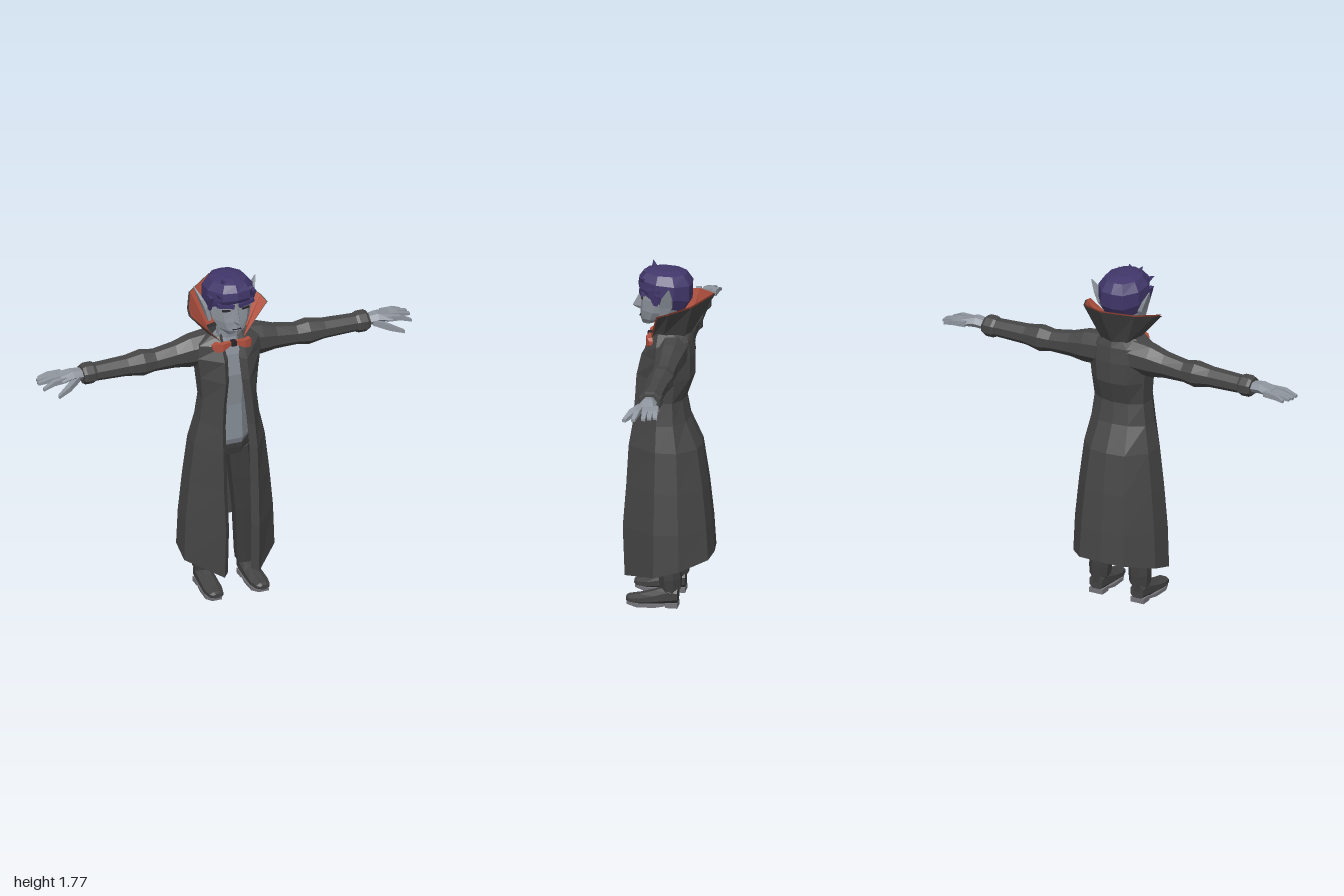
import * as THREE from 'three';

const mat = (name, color, side = THREE.FrontSide) => {
  const m = new THREE.MeshStandardMaterial({ color, side });
  m.name = name;
  return m;
};
const M = {
  coat: mat('coat charcoal', 0x464646, THREE.DoubleSide),
  trousers: mat('trouser charcoal', 0x3e3e3e),
  skin: mat('pale skin', 0x8f959e),
  shirt: mat('shirt grey', 0x858b94),
  red: mat('red cloth', 0xb0503e, THREE.DoubleSide),
  hair: mat('hair purple', 0x41376a),
  shoe: mat('shoe black', 0x424242),
  sole: mat('sole grey', 0x74747a),
  dark: mat('dark line', 0x26262c),
};

// Joins rings of points into a faceted skin; closed rings may be capped.
function loft(name, material, rings, closed = true) {
  const tris = [], n = rings[0].length;
  for (let i = 0; i < rings.length - 1; i++) {
    for (let j = 0; j < (closed ? n : n - 1); j++) {
      const k = (j + 1) % n, a = rings[i][j], b = rings[i][k], c = rings[i + 1][k], d = rings[i + 1][j];
      tris.push([a, b, c], [a, c, d]);
    }
  }
  if (closed) {
    const centre = (r) => [0, 1, 2].map((q) => r.reduce((s, p) => s + p[q], 0) / n);
    const lo = rings[0], hi = rings[rings.length - 1], cl = centre(lo), ch = centre(hi);
    for (let j = 0; j < n; j++) {
      const k = (j + 1) % n;
      tris.push([cl, lo[k], lo[j]], [ch, hi[j], hi[k]]);
    }
  }
  // turn faces outward
  const v = tris.map((t) => t.map((p) => new THREE.Vector3(...p)));
  const volume = v.reduce((s, [a, b, c]) => s + a.dot(b.clone().cross(c)), 0);
  const pos = tris.flatMap(([a, b, c]) => (volume < 0 ? [a, c, b] : [a, b, c])).flat();
  const g = new THREE.BufferGeometry();
  g.setAttribute('position', new THREE.Float32BufferAttribute(pos, 3));
  g.computeVertexNormals();
  const mesh = new THREE.Mesh(g, material);
  mesh.name = name;
  return mesh;
}

// Faceted tube along an axis; section = [along, centre u, radius u, centre v, radius v].
function sweep(name, material, axis, sections, s = 1, n = 8) {
  const rings = sections.map(([t, cu, ru, cv, rv]) => Array.from({ length: n }, (_, i) => {
    const a = ((i + 0.5) / n) * Math.PI * 2, k = 1 / Math.cos(Math.PI / n);
    const u = cu + Math.cos(a) * ru * k, v = cv + Math.sin(a) * rv * k;
    const p = axis === 'x' ? [t, u, v] : axis === 'y' ? [u, t, v] : [u, v, t];
    return [p[0] * s, p[1], p[2]];
  }));
  return loft(name, material, rings);
}

// Mirrors half an outline [x, z], tilting its height from front to back.
function ring(half, yF, yB) {
  const zs = half.map((p) => p[1]), zF = Math.max(...zs), zB = Math.min(...zs);
  const pts = half.map(([x, z]) => [x, yB + ((yF - yB) * (z - zB)) / (zF - zB), z]);
  const other = pts.filter((p) => p[0] !== 0).reverse().map(([x, y, z]) => [-x, y, z]);
  return [...pts, ...other];
}
const skullRing = ([yF, yB, w, zF, zB]) => ring([
  [0, zF], [w * 0.6, zF - 0.018], [w, zB + (zF - zB) * 0.62],
  [w * 0.95, zB + (zF - zB) * 0.28], [w * 0.5, zB + 0.008], [0, zB]], yF, yB);

function box(name, material, size, at, rot = [0, 0, 0]) {
  const m = new THREE.Mesh(new THREE.BoxGeometry(...size), material);
  m.name = name;
  m.position.set(...at);
  m.rotation.set(...rot);
  return m;
}

export function createModel() {
  const model = new THREE.Group();
  model.name = 'caped gentleman';
  const add = (...m) => model.add(...m);

  // Long open coat: [front y, back y, half width, front z, back z, opening]
  const coat = [
    [0.14, 0.26, 0.243, 0.22, -0.22, 0.062], [0.4, 0.42, 0.235, 0.23, -0.21, 0.06],
    [0.62, 0.62, 0.215, 0.212, -0.19, 0.063], [0.83, 0.83, 0.19, 0.2, -0.16, 0.062],
    [0.95, 0.97, 0.16, 0.18, -0.1, 0.058], [1.08, 1.08, 0.145, 0.17, -0.08, 0.048],
    [1.2, 1.2, 0.155, 0.165, -0.122, 0.034], [1.31, 1.31, 0.168, 0.14, -0.122, 0.03],
    [1.38, 1.39, 0.16, 0.1, -0.112, 0.03], [1.43, 1.43, 0.1, 0.065, -0.1, 0.03],
  ];
  add(loft('coat', M.coat, coat.map(([yF, yB, w, zF, zB, xi]) => ring([
    [xi, zF - 0.035], [xi + 0.03, zF], [w, 0.05], [w * 0.97, zB * 0.35],
    [w * 0.52, zB + 0.012], [0, zB]], yF, yB)), false));

  // Flared collar, dark outside and red inside
  const mirrorRow = (r) => [...r, ...r.slice(0, -1).reverse().map(([x, y, z]) => [-x, y, z])];
  const collar = [
    [[0.06, 1.405, 0.085], [0.105, 1.43, 0.02], [0.075, 1.42, -0.08], [0, 1.42, -0.105]],
    [[0.212, 1.555, 0.035], [0.2, 1.57, -0.02], [0.147, 1.598, -0.13], [0, 1.628, -0.225]],
  ].map(mirrorRow);
  add(loft('collarOutside', M.coat, collar, false));
  add(loft('collarLining', M.red, collar.map((r) => r.map(([x, y, z]) => [x * 0.965, y + 0.004, z + 0.007])), false));

  // Shirt and hips
  add(sweep('shirt', M.shirt, 'y', [
    [0.83, 0, 0.1, 0.01, 0.1], [0.86, 0, 0.105, 0.015, 0.105], [1.05, 0, 0.1, 0.025, 0.085],
    [1.22, 0, 0.11, 0.02, 0.098], [1.33, 0, 0.1, 0.01, 0.088], [1.41, 0, 0.06, 0.01, 0.06]]));
  add(sweep('hips', M.trousers, 'y', [
    [0.76, 0, 0.1, 0.005, 0.085], [0.8, 0, 0.12, 0.005, 0.095], [0.845, 0, 0.11, 0.005, 0.1]]));

  // Neck, head and nose
  add(sweep('neck', M.skin, 'y', [[1.38, 0, 0.05, 0.01, 0.05], [1.52, 0, 0.05, 0.03, 0.05]]));
  add(loft('head', M.skin, [
    [1.455, 1.47, 0.036, 0.145, 0.07], [1.49, 1.5, 0.076, 0.156, 0.0], [1.54, 1.54, 0.1, 0.155, -0.05],
    [1.6, 1.6, 0.111, 0.15, -0.08], [1.66, 1.66, 0.108, 0.148, -0.09], [1.71, 1.71, 0.08, 0.1, -0.06],
  ].map(skullRing)));
  add(loft('nose', M.skin, [
    [[-0.008, 1.615, 0.145], [0.008, 1.615, 0.145], [0, 1.615, 0.158]],
    [[-0.018, 1.545, 0.145], [0.018, 1.545, 0.145], [0, 1.545, 0.195]],
    [[-0.012, 1.528, 0.145], [0.012, 1.528, 0.145], [0, 1.53, 0.168]]]));
  add(box('mouth', M.dark, [0.045, 0.004, 0.006], [0, 1.5, 0.154]));

  // Swept hair with tufts
  add(loft('hair', M.hair, [
    [1.645, 1.54, 0.114, 0.156, -0.07], [1.665, 1.6, 0.124, 0.166, -0.108], [1.705, 1.68, 0.121, 0.16, -0.11],
    [1.738, 1.73, 0.09, 0.135, -0.08], [1.75, 1.745, 0.04, 0.09, -0.03],
  ].map(skullRing)));
  const tufts = [[-0.045, 1.735, 0.09, 0.035, 0.08, 0.3, 0.5], [0.02, 1.725, 0.12, 0.04, 0.06, 0.6, -0.5],
    [-0.08, 1.69, 0.13, 0.03, 0.07, 0.5, 0.9], [0.07, 1.7, 0.125, 0.035, 0.07, 0.5, -0.9]];
  for (const [x, y, z, r, h, rx, rz] of tufts) {
    const t = new THREE.Mesh(new THREE.ConeGeometry(r, h, 4).toNonIndexed(), M.hair);
    t.geometry.computeVertexNormals();
    t.name = 'hairTuft';
    t.position.set(x, y, z);
    t.rotation.set(rx, 0, rz);
    add(t);
  }

  // Bow tie knot
  add(box('bowKnot', M.dark, [0.026, 0.028, 0.026], [0, 1.397, 0.105]));

  for (const s of [1, -1]) {
    // Face sides
    add(sweep('ear', M.skin, 'y', [
      [1.51, 0.1, 0.008, 0.03, 0.01], [1.58, 0.115, 0.012, 0.008, 0.033],
      [1.63, 0.137, 0.009, 0, 0.027], [1.69, 0.165, 0.002, -0.015, 0.003]], s, 4));
    add(sweep('sideburn', M.hair, 'y', [
      [1.585, 0.11, 0.006, 0.06, 0.01], [1.67, 0.114, 0.01, 0.07, 0.035]], s, 4));
    add(box('eyebrow', M.hair, [0.088, 0.02, 0.02], [s * 0.055, 1.632, 0.139], [0, s * 0.28, s * 0.1]));
    add(box('eye', M.dark, [0.04, 0.009, 0.008], [s * 0.052, 1.604, 0.139], [0, s * 0.27, 0]));

    // Bow tie wing
    add(sweep('bowWing', M.red, 'x', [
      [0.008, 1.397, 0.009, 0.1, 0.008], [0.06, 1.384, 0.02, 0.104, 0.014],
      [0.09, 1.382, 0.024, 0.093, 0.014], [0.105, 1.382, 0.01, 0.085, 0.01]], s, 4));

    // Sleeve and cuff
    add(sweep('sleeve', M.coat, 'x', [
      [0.08, 1.34, 0.085, -0.02, 0.08], [0.19, 1.33, 0.08, -0.022, 0.068], [0.27, 1.322, 0.062, -0.022, 0.058],
      [0.38, 1.313, 0.052, -0.022, 0.055], [0.445, 1.312, 0.063, -0.023, 0.063],
      [0.53, 1.313, 0.048, -0.02, 0.053], [0.71, 1.312, 0.042, -0.02, 0.048]], s));
    add(sweep('cuff', M.coat, 'x', [
      [0.7, 1.312, 0.044, -0.02, 0.052], [0.715, 1.312, 0.05, -0.02, 0.058],
      [0.755, 1.312, 0.05, -0.02, 0.058], [0.77, 1.312, 0.042, -0.02, 0.05]], s));

    // Hand
    const hand = new THREE.Group();
    hand.name = 'hand';
    hand.add(sweep('palm', M.skin, 'x', [
      [0.74, 1.312, 0.024, -0.02, 0.03], [0.82, 1.32, 0.026, -0.02, 0.038],
      [0.89, 1.312, 0.016, -0.03, 0.054]], s, 6));
    const fingers = [[-0.068, -0.082, 0.975, 1.3], [-0.045, -0.056, 0.995, 1.303],
      [-0.02, -0.026, 1, 1.3], [0.006, 0.026, 0.99, 1.29]];
    for (const [z0, z1, tip, y] of fingers) {
      hand.add(sweep('finger', M.skin, 'x', [
        [0.86, 1.314, 0.014, z0, 0.014], [0.93, 1.312, 0.012, (z0 + z1) / 2, 0.014],
        [tip, y, 0.006, z1, 0.01]], s, 4));
    }
    hand.add(sweep('thumb', M.skin, 'x', [
      [0.79, 1.305, 0.015, 0, 0.016], [0.86, 1.287, 0.015, 0.048, 0.018],
      [0.93, 1.265, 0.008, 0.082, 0.009]], s, 4));
    add(hand);

    // Trouser leg
    add(sweep('trouserLeg', M.trousers, 'y', [
      [0.1, 0.115, 0.05, -0.017, 0.052], [0.15, 0.113, 0.054, -0.015, 0.055], [0.42, 0.095, 0.058, 0.01, 0.062],
      [0.62, 0.077, 0.06, 0.01, 0.075], [0.79, 0.058, 0.058, 0.005, 0.085]], s));
    add(sweep('ankle', M.trousers, 'y', [[0.06, 0.118, 0.04, -0.015, 0.04], [0.12, 0.116, 0.042, -0.015, 0.042]], s));

    // Shoe with heel and sole
    add(sweep('shoe', M.shoe, 'z', [
      [-0.055, 0.118, 0.036, 0.06, 0.042], [-0.01, 0.118, 0.043, 0.062, 0.05], [0.06, 0.12, 0.045, 0.047, 0.037],
      [0.14, 0.123, 0.047, 0.036, 0.026], [0.19, 0.125, 0.036, 0.035, 0.02], [0.205, 0.126, 0.02, 0.036, 0.012]], s));
    add(box('heel', M.sole, [0.076, 0.026, 0.06], [s * 0.118, 0.013, -0.026]));
    add(sweep('sole', M.sole, 'z', [
      [0.0, 0.119, 0.038, 0.016, 0.006], [0.06, 0.12, 0.044, 0.009, 0.009],
      [0.15, 0.123, 0.045, 0.009, 0.009], [0.2, 0.126, 0.026, 0.018, 0.008]], s, 4));
  }
  return model;
}
